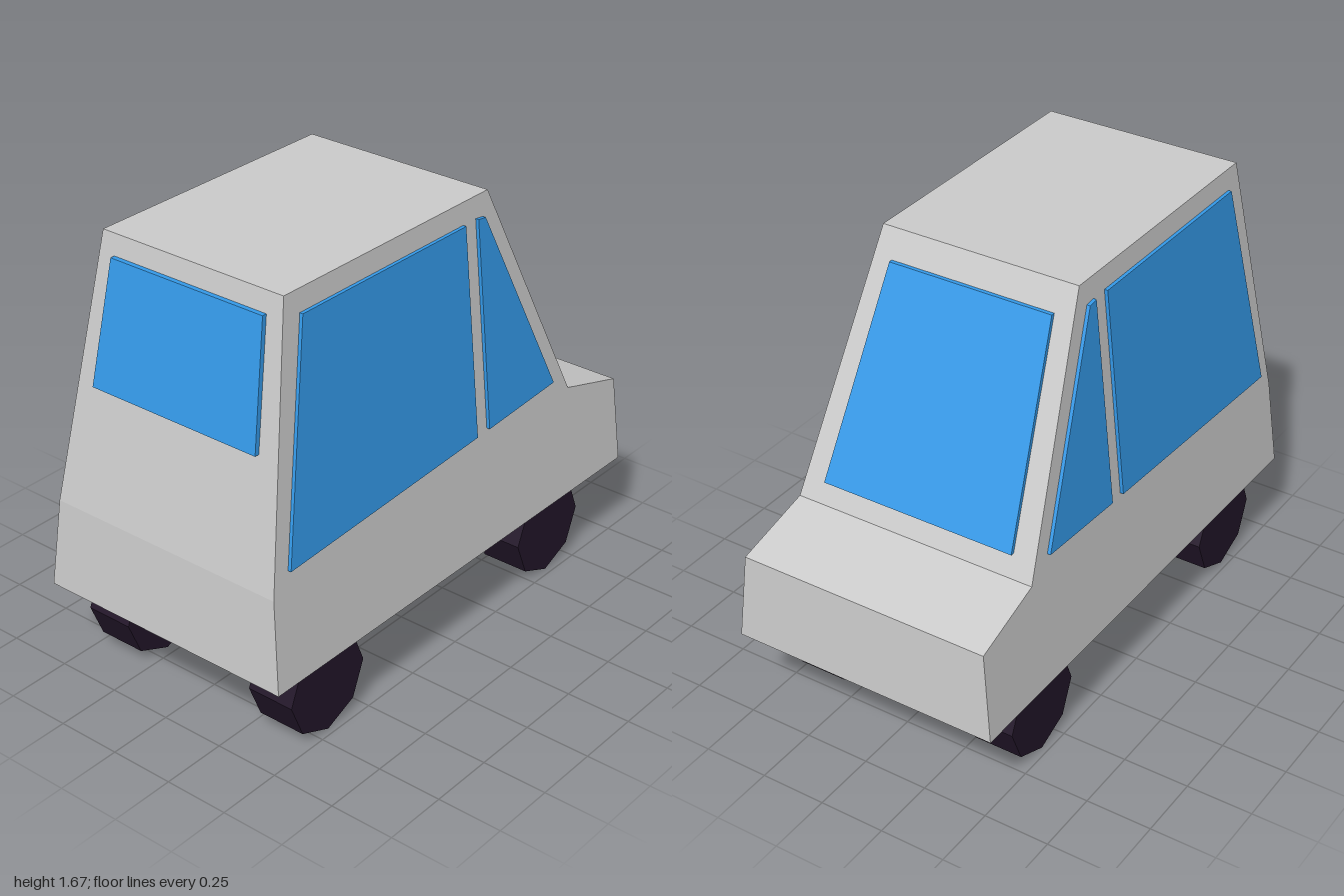
import * as THREE from 'three';

const grey = new THREE.MeshStandardMaterial({ color: 0xcccccc, flatShading: true });
const glass = new THREE.MeshStandardMaterial({ color: 0x3499e8, flatShading: true });
const rubber = new THREE.MeshStandardMaterial({ color: 0x23162a, flatShading: true });

// Body tapers inward with height
const halfWidth = (y) => THREE.MathUtils.mapLinear(y, 0.335, 1.67, 0.525, 0.39);
const windscreenX = (y) => THREE.MathUtils.mapLinear(y, 0.76, 1.67, 0.685, 0.265);
const rearX = (y) => THREE.MathUtils.mapLinear(y, 0.68, 1.67, -0.975, -0.79);

// Extrude an outline, centred in depth, then move every vertex by a rule
function slab(points, depth, rule) {
  const shape = new THREE.Shape(points.map(([x, y]) => new THREE.Vector2(x, y)));
  const geo = new THREE.ExtrudeGeometry(shape, { depth, bevelEnabled: false });
  const pos = geo.attributes.position;
  for (let i = 0; i < pos.count; i++) {
    pos.setXYZ(i, ...rule(pos.getX(i), pos.getY(i), pos.getZ(i) - depth / 2));
  }
  geo.computeVertexNormals();
  return geo;
}

export function createModel() {
  const car = new THREE.Group();
  car.name = 'car';
  const add = (name, geo, mat) => {
    const mesh = new THREE.Mesh(geo, mat);
    mesh.name = name;
    car.add(mesh);
    return mesh;
  };

  // Body shell, nose towards +x
  const profile = [[-1, 0.335], [1, 0.335], [0.985, 0.675], [0.685, 0.76],
    [0.265, 1.67], [-0.79, 1.67], [-0.975, 0.68]];
  add('body', slab(profile, 2, (x, y, z) => [x, y, z * halfWidth(y)]), grey);

  // Side windows follow the leaning flanks
  const rearPane = [[-0.895, 0.755], [0.115, 0.803], [0.12, 1.59], [-0.725, 1.59]];
  const frontPane = [[0.185, 0.806], [0.58, 0.828], [0.23, 1.585], [0.19, 1.59]];
  for (const side of [1, -1]) {
    const lean = (x, y, z) => [x, y, z + side * halfWidth(y)];
    const label = side > 0 ? 'Left' : 'Right';
    add('rearSideWindow' + label, slab(rearPane, 0.026, lean), glass);
    add('frontSideWindow' + label, slab(frontPane, 0.026, lean), glass);
  }

  // Windscreen and rear window, turned across the car and sloped
  const screen = [[-0.387, 0.838], [0.387, 0.838], [0.325, 1.57], [-0.325, 1.57]];
  add('windscreen', slab(screen, 0.03, (x, y, z) => [windscreenX(y) + z, y, -x]), glass);
  const back = [[-0.362, 1.14], [0.362, 1.14], [0.33, 1.595], [-0.33, 1.595]];
  add('rearWindow', slab(back, 0.036, (x, y, z) => [rearX(y) + z, y, -x]), glass);

  // Eight-sided wheels
  const wheelGeo = new THREE.CylinderGeometry(0.19, 0.19, 0.19, 8).rotateX(Math.PI / 2);
  for (const [end, x] of [['front', 0.605], ['rear', -0.69]]) {
    for (const [label, z] of [['Left', 0.38], ['Right', -0.38]]) {
      add(end + 'Wheel' + label, wheelGeo, rubber).position.set(x, 0.19, z);
    }
  }
  return car;
}
